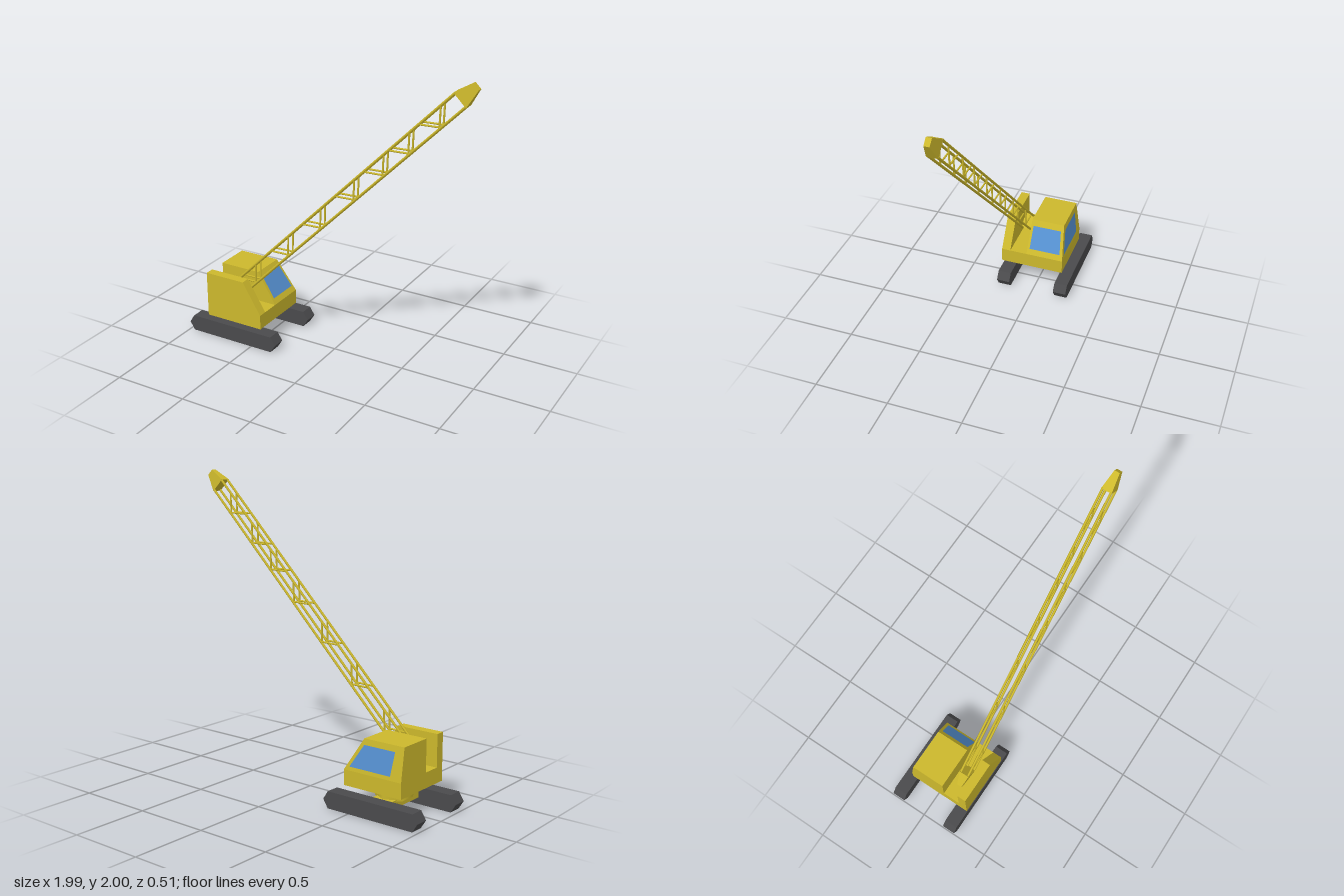
import * as THREE from 'three';

const mat = (color, extra = {}) => new THREE.MeshStandardMaterial({ color, ...extra });
const yellow = mat(0xccb82c);
const dark = mat(0x4a4a4c);
const glass = mat(0x5590d0, { side: THREE.DoubleSide });

const V = (x, y, z) => new THREE.Vector3(x, y, z);

function add(parent, name, geometry, material) {
  const mesh = new THREE.Mesh(geometry, material);
  mesh.name = name;
  parent.add(mesh);
  return mesh;
}

// Side profile (x, y) pushed from z0 to z1
function slab(points, z0, z1) {
  const shape = new THREE.Shape(points.map(([x, y]) => new THREE.Vector2(x, y)));
  return new THREE.ExtrudeGeometry(shape, { depth: z1 - z0, bevelEnabled: false }).translate(0, 0, z0);
}

// Thin flat pane through four corners
function pane(a, b, c, d) {
  const g = new THREE.BufferGeometry().setFromPoints([a, b, c, a, c, d]);
  g.computeVertexNormals();
  return g;
}

// Round bar between two points
function bar(a, b, radius) {
  const dir = b.clone().sub(a);
  const g = new THREE.CylinderGeometry(radius, radius, dir.length(), 6);
  g.applyQuaternion(new THREE.Quaternion().setFromUnitVectors(V(0, 1, 0), dir.normalize()));
  const mid = a.clone().add(b).multiplyScalar(0.5);
  return g.translate(mid.x, mid.y, mid.z);
}

// Box along y whose +y end is narrowed
function taperedBlock(w, h, d, sx, sz) {
  const g = new THREE.BoxGeometry(w, h, d).toNonIndexed();
  const p = g.attributes.position;
  for (let i = 0; i < p.count; i++) {
    if (p.getY(i) > 0) p.setXYZ(i, p.getX(i) * sx, p.getY(i), p.getZ(i) * sz);
  }
  g.computeVertexNormals();
  return g;
}

export function createModel() {
  const model = new THREE.Group();
  model.name = 'crane';

  // Crawler tracks and axle
  const track = [[-1, 0.055], [-0.965, 0], [-0.345, 0], [-0.31, 0.055], [-0.345, 0.11], [-0.965, 0.11]];
  add(model, 'leftTrack', slab(track, 0.162, 0.253), dark);
  add(model, 'rightTrack', slab(track, -0.253, -0.162), dark);
  add(model, 'axle', new THREE.BoxGeometry(0.14, 0.05, 0.33), yellow).position.set(-0.66, 0.067, 0);
  add(model, 'turntable', new THREE.CylinderGeometry(0.117, 0.117, 0.07, 6), yellow).position.set(-0.66, 0.12, 0);

  // Body: low deck, side wall and cab with a slot between them
  const body = new THREE.Group();
  body.name = 'body';
  model.add(body);
  add(body, 'deck', slab([[-0.84, 0.15], [-0.42, 0.15], [-0.42, 0.25], [-0.84, 0.25]], -0.19, 0.253), yellow);
  const upper = [[-0.84, 0.25], [-0.42, 0.25], [-0.55, 0.463], [-0.84, 0.463]];
  add(body, 'sideWall', slab(upper, 0.192, 0.253), yellow);
  const cab = slab(upper, -0.19, 0.072);
  const p = cab.attributes.position;
  for (let i = 0; i < p.count; i++) {
    if (p.getY(i) > 0.4 && p.getZ(i) < 0) p.setZ(i, -0.16); // outer wall leans in
  }
  cab.computeVertexNormals();
  add(body, 'cab', cab, yellow);

  // Windows lying just proud of the sloping walls
  const front = (y, z) => V(-0.417 - (y - 0.25) * 0.61, y + 0.002, z);
  add(body, 'windscreen', pane(front(0.285, 0.055), front(0.285, -0.165), front(0.425, -0.145), front(0.425, 0.055)), glass);
  const side = (x, y) => V(x, y, -0.193 + (y - 0.25) * 0.141);
  add(body, 'sideWindow', pane(side(-0.76, 0.275), side(-0.78, 0.425), side(-0.555, 0.425), side(-0.46, 0.275)), glass);

  // Lattice boom, rising at 45 degrees
  const boom = new THREE.Group();
  boom.name = 'boom';
  model.add(boom);
  const zMid = 0.136;
  const top = (x, z) => V(x, x + 1.075, z);
  const low = (x, z) => V(x, x + 0.938, z);
  const bends = [-0.505, -0.25, -0.01, 0.225, 0.42, 0.583, 0.772];
  for (const z of [zMid - 0.028, zMid + 0.028]) {
    add(boom, 'upperChord', bar(top(-0.68, z), top(0.86, z), 0.008), yellow);
    add(boom, 'lowerChord', bar(low(-0.61, z), low(0.93, z), 0.008), yellow);
    for (const x of bends) {
      const bend = V(x, x + 0.948, z);
      add(boom, 'brace', bar(top(x - 0.13, z), bend, 0.006), yellow);
      add(boom, 'brace', bar(bend, top(x + 0.004, z), 0.006), yellow);
    }
  }

  // Tapered boom ends
  const head = taperedBlock(0.112, 0.12, 0.07, 0.45, 0.5);
  const tip = add(boom, 'boomHead', head, yellow);
  tip.position.set(0.932, 1.938, zMid);
  tip.rotation.z = -Math.PI / 4;
  const foot = add(boom, 'boomFoot', head, yellow);
  foot.position.set(-0.688, 0.324, zMid);
  foot.rotation.z = Math.PI * 0.75;

  return model;
}
